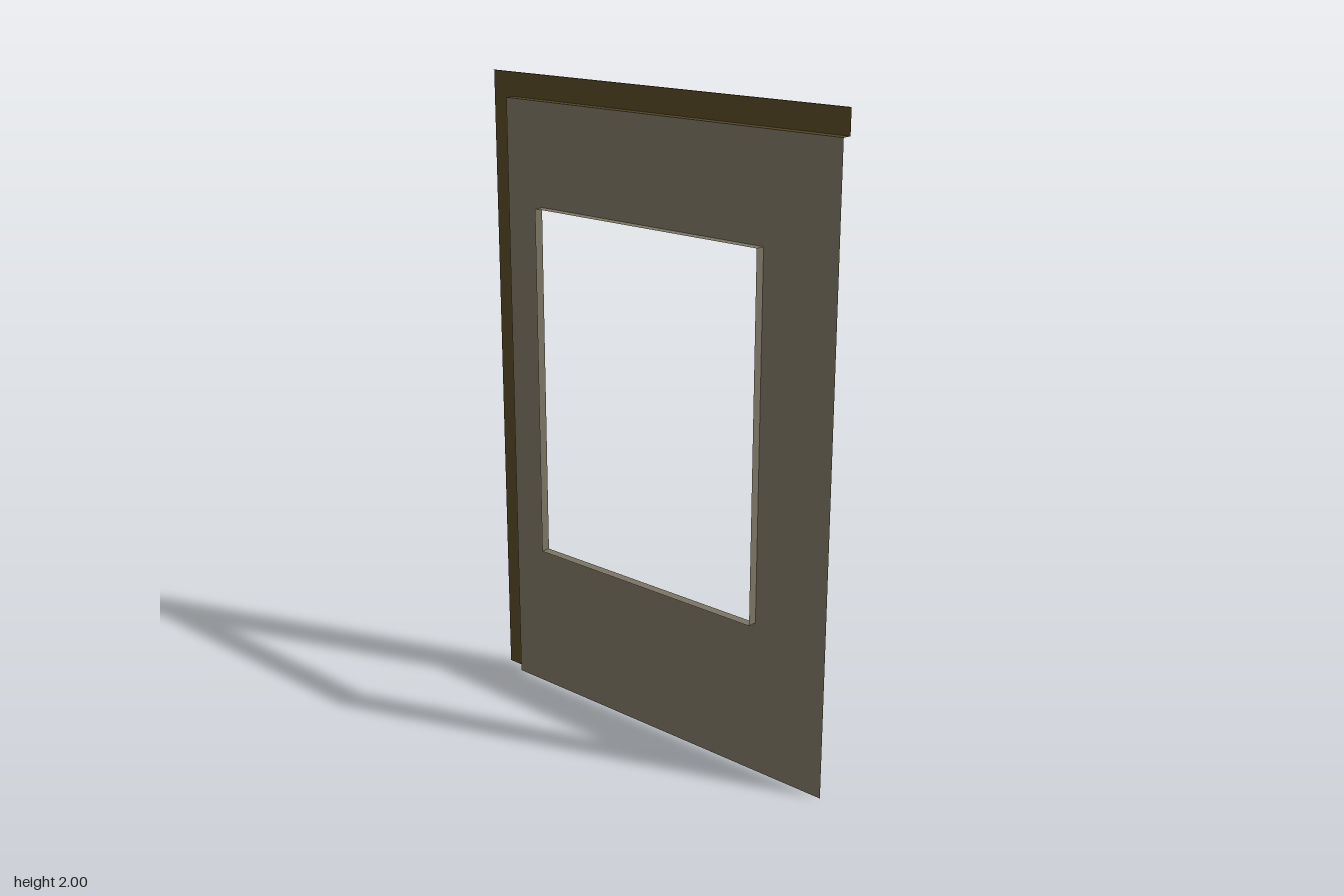
import * as THREE from 'three';

const wallMat = new THREE.MeshStandardMaterial({ color: 0x7a7462, side: THREE.DoubleSide });
const trimMat = new THREE.MeshStandardMaterial({ color: 0x564824, side: THREE.DoubleSide });

// Outlines are drawn as (u, y) with u = -z, then turned to face +x.
const points = (list) => list.map(([u, y]) => new THREE.Vector2(u, y));

function sheet(name, outline, x, material, hole) {
  const shape = new THREE.Shape(points(outline));
  if (hole) shape.holes.push(new THREE.Path(points(hole)));
  const mesh = new THREE.Mesh(new THREE.ShapeGeometry(shape).rotateY(Math.PI / 2), material);
  mesh.name = name;
  mesh.position.x = x;
  return mesh;
}

// Thin strips running along an outline, from depth x0 to depth x1.
function returns(name, path, x0, x1, material) {
  const group = new THREE.Group();
  group.name = name;
  for (let i = 0; i < path.length - 1; i++) {
    const [u0, y0] = path[i];
    const [u1, y1] = path[i + 1];
    const length = Math.hypot(u1 - u0, y1 - y0);
    const geometry = new THREE.PlaneGeometry(length, x1 - x0)
      .rotateX(-Math.PI / 2)
      .rotateZ(Math.atan2(y1 - y0, u1 - u0))
      .rotateY(Math.PI / 2);
    const strip = new THREE.Mesh(geometry, material);
    strip.name = name + 'Strip';
    strip.position.set((x0 + x1) / 2, (y0 + y1) / 2, -(u0 + u1) / 2);
    group.add(strip);
  }
  return group;
}

export function createModel() {
  const model = new THREE.Group();
  model.name = 'wallPanel';

  const near = -0.667, far = 0.667, inner = 0.585;
  const top = 2, innerTop = 1.925, front = 0.03;
  const opening = [[-0.415, 0.485], [0.44, 0.485], [0.44, 1.605], [-0.415, 1.605]];

  // Recessed wall with a window opening and its reveal
  model.add(sheet('wall',
    [[near, 0], [inner, 0], [inner, innerTop], [near, innerTop]], 0, wallMat, opening));
  model.add(returns('windowReveal', [...opening, opening[0]], -0.03, 0, wallMat));

  // Raised trim along the top and the rear edge
  model.add(sheet('trimFace',
    [[inner, 0], [far, 0], [far, top], [near, top], [near, innerTop], [inner, innerTop]],
    front, trimMat));
  model.add(returns('trimReturn',
    [[inner, 0], [inner, innerTop], [near, innerTop]], 0, front, trimMat));
  model.add(returns('trimTopLip', [[far, top], [near, top]], 0.022, front, trimMat));

  return model;
}
